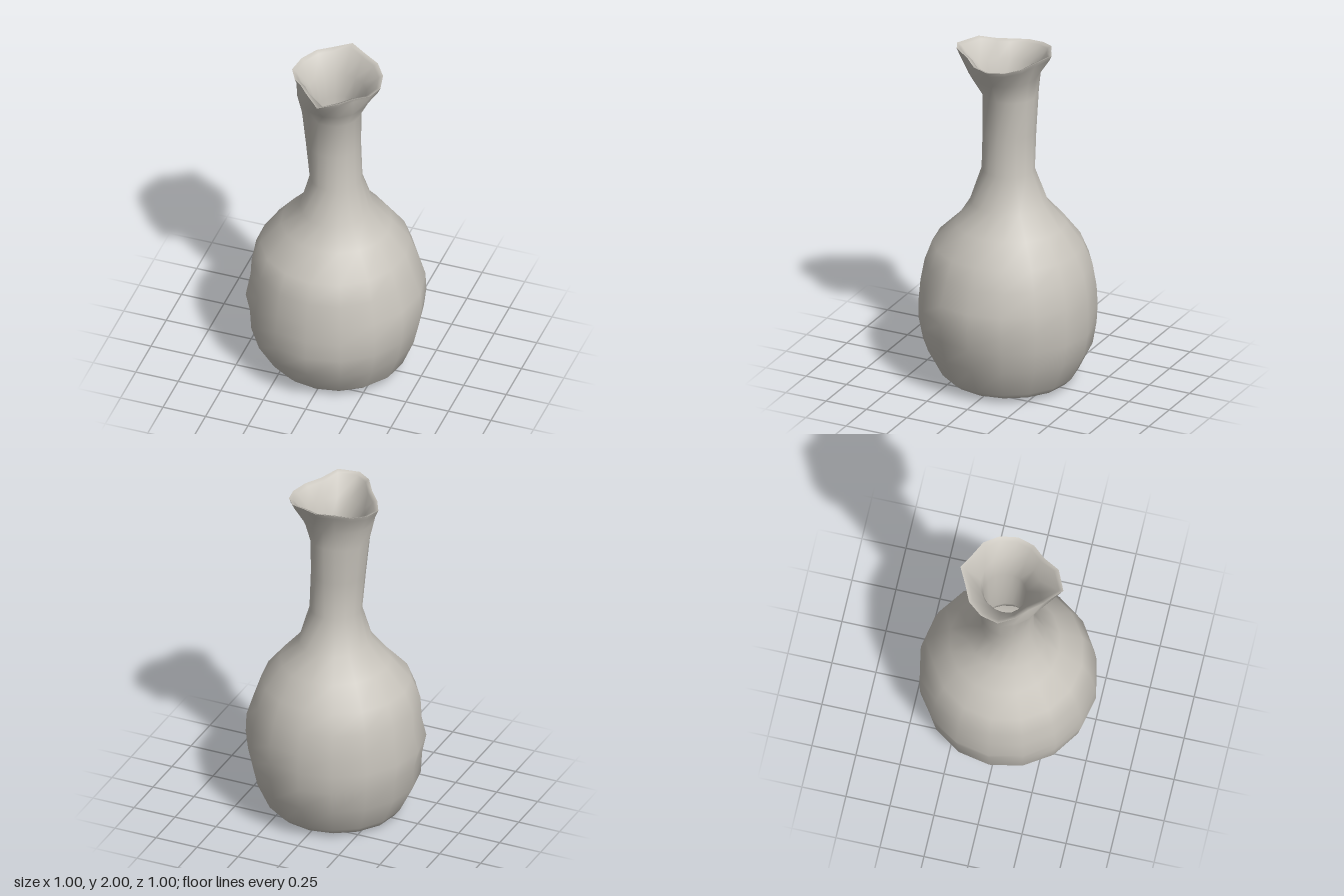
import * as THREE from 'three';

const SIDES = 16;

// Ring of points from its height and its front, +x, back and -x radii
function ring([y, front, left, back, right]) {
  return Array.from({ length: SIDES }, (_, i) => {
    const a = (i / SIDES) * Math.PI * 2;
    const s = Math.sin(a), c = Math.cos(a);
    const r = (s > 0 ? left : right) * s * s + (c > 0 ? front : back) * c * c;
    return [r * s, y, r * c];
  });
}

// Uneven lip: radius and height at each step, starting at the front
const LIP_RADIUS = [0.315, 0.285, 0.235, 0.25, 0.26, 0.26, 0.255, 0.24,
  0.27, 0.24, 0.255, 0.26, 0.26, 0.23, 0.215, 0.25];
const LIP_HEIGHT = [1.965, 1.985, 1.965, 1.95, 1.945, 1.955, 1.97, 1.985,
  2.0, 1.985, 1.97, 1.955, 1.945, 1.95, 1.965, 1.985];
function lipRing(inset, drop) {
  return LIP_RADIUS.map((r, i) => {
    const a = (i / SIDES) * Math.PI * 2;
    return [(r - inset) * Math.sin(a), LIP_HEIGHT[i] - drop, (r - inset) * Math.cos(a)];
  });
}

// Smooth skin through a stack of rings
function loft(name, rings, material) {
  const index = [];
  for (let j = 0; j < rings.length - 1; j++) {
    for (let i = 0; i < SIDES; i++) {
      const k = (i + 1) % SIDES;
      const a = j * SIDES + i, b = j * SIDES + k;
      index.push(a, b, b + SIDES, a, b + SIDES, a + SIDES);
    }
  }
  const geometry = new THREE.BufferGeometry();
  geometry.setAttribute('position', new THREE.Float32BufferAttribute(rings.flat(2), 3));
  geometry.setIndex(index);
  geometry.computeVertexNormals();
  const mesh = new THREE.Mesh(geometry, material);
  mesh.name = name;
  return mesh;
}

export function createModel() {
  const clay = new THREE.MeshStandardMaterial({ color: 0xc8c4bc });
  clay.name = 'warm grey clay';
  clay.side = THREE.DoubleSide;

  // Base, belly, shoulder, neck and flare: [y, front, +x, back, -x]
  const outside = [
    [0, 0.01, 0.01, 0.01, 0.01],
    [0, 0.28, 0.24, 0.29, 0.27],
    [0.02, 0.33, 0.34, 0.35, 0.36],
    [0.06, 0.37, 0.39, 0.39, 0.39],
    [0.22, 0.475, 0.455, 0.47, 0.47],
    [0.35, 0.5, 0.485, 0.495, 0.475],
    [0.46, 0.495, 0.5, 0.497, 0.503],
    [0.57, 0.485, 0.495, 0.495, 0.475],
    [0.7, 0.465, 0.45, 0.47, 0.47],
    [0.82, 0.42, 0.41, 0.42, 0.42],
    [0.95, 0.29, 0.305, 0.33, 0.31],
    [1.07, 0.215, 0.2, 0.23, 0.2],
    [1.27, 0.147, 0.145, 0.15, 0.147],
    [1.5, 0.142, 0.135, 0.155, 0.172],
    [1.72, 0.142, 0.137, 0.162, 0.198],
    [1.84, 0.225, 0.195, 0.17, 0.216],
  ].map(ring);
  outside.push(lipRing(0.01, 0.025), lipRing(0, 0));

  // Funnel mouth, neck bore and hollow belly
  const inside = [
    [1.86, 0.18, 0.17, 0.155, 0.16],
    [1.72, 0.1, 0.115, 0.14, 0.11],
    [1.27, 0.09, 0.11, 0.125, 0.09],
    [1.07, 0.18, 0.17, 0.19, 0.17],
    [0.82, 0.38, 0.38, 0.38, 0.38],
    [0.46, 0.46, 0.46, 0.46, 0.46],
    [0.22, 0.43, 0.42, 0.43, 0.43],
    [0.05, 0.3, 0.3, 0.3, 0.3],
    [0.04, 0.01, 0.01, 0.01, 0.01],
  ].map(ring);
  inside.unshift(lipRing(0, 0), lipRing(0.025, 0.01));

  const vase = new THREE.Group();
  vase.name = 'vase';
  vase.add(loft('outerBody', outside, clay), loft('innerWall', inside, clay));
  return vase;
}
